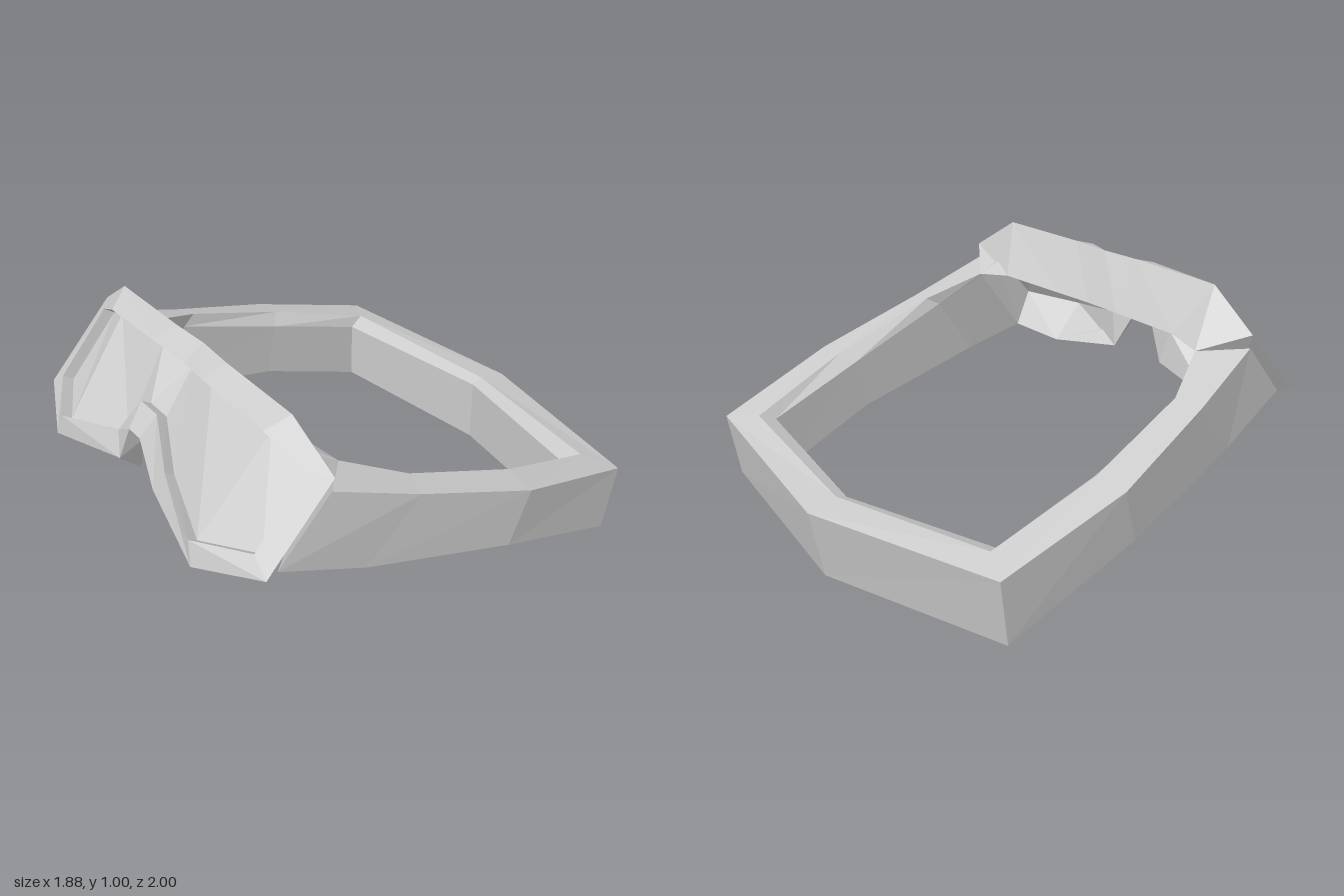
import * as THREE from 'three';

const material = new THREE.MeshStandardMaterial({ color: 0xcccccc, flatShading: true, side: THREE.DoubleSide });
const mirror = ([x, y, z]) => [-x, y, z];

// Skins a list of rings (or open rows) with flat quads
function loft(name, rings, closed) {
  const pos = [];
  for (let j = 0; j < rings.length - 1; j++) {
    const n = rings[j].length;
    for (let i = 0; i < (closed ? n : n - 1); i++) {
      const k = (i + 1) % n;
      const a = rings[j][i], b = rings[j][k], c = rings[j + 1][k], d = rings[j + 1][i];
      pos.push(...a, ...d, ...c, ...a, ...c, ...b);
    }
  }
  const geo = new THREE.BufferGeometry();
  geo.setAttribute('position', new THREE.Float32BufferAttribute(pos, 3));
  geo.computeVertexNormals();
  const mesh = new THREE.Mesh(geo, material);
  mesh.name = name;
  return mesh;
}

// Half outlines run from the top centre, round the left side, to the nose notch
const fullRing = (half) => [...half, ...half.slice(1).reverse().map(mirror)];

const rear = [
  [0, 0.79, 0.49], [0.18, 0.79, 0.485], [0.5, 0.79, 0.475], [0.65, 0.77, 0.44],
  [0.65, 0.46, 0.68], [0.47, 0.405, 0.77], [0.14, 0.455, 0.83], [0.04, 0.65, 0.86],
];
const outer = [
  [0, 1.005, 0.59], [0.18, 1.005, 0.6], [0.6, 1, 0.6], [0.82, 0.85, 0.58],
  [0.82, 0.54, 0.87], [0.53, 0.475, 1], [0.13, 0.54, 0.92], [0.04, 0.72, 0.91],
];
const inner = [
  [0, 0.95, 0.68], [0.18, 0.97, 0.705], [0.55, 0.94, 0.69], [0.735, 0.85, 0.64],
  [0.735, 0.6, 0.86], [0.5, 0.57, 0.985], [0.18, 0.635, 0.89], [0.06, 0.81, 0.84],
];
// The lens sits slightly behind the front lip
const seat = inner.map(([x, y, z]) => [x * 0.985, y - 0.025, z - 0.04]);

// Strap sections: outer top, outer bottom, inner bottom, inner bevel, inner top
const strapHalf = [
  [[0, 0.305, -1], [0, 0.005, -0.94], [0, 0.03, -0.82], [0, 0.31, -0.82], [0, 0.33, -0.87]],
  [[0.89, 0.345, -0.82], [0.88, 0.06, -0.775], [0.73, 0.08, -0.67], [0.73, 0.34, -0.67], [0.75, 0.37, -0.74]],
  [[0.94, 0.505, -0.26], [0.925, 0.27, -0.18], [0.745, 0.25, -0.18], [0.745, 0.48, -0.22], [0.8, 0.52, -0.27]],
  [[0.87, 0.66, 0.23], [0.84, 0.41, 0.45], [0.74, 0.37, 0.45], [0.74, 0.64, 0.26], [0.76, 0.675, 0.2]],
  [[0.81, 0.79, 0.585], [0.8, 0.54, 0.81], [0.65, 0.46, 0.68], [0.65, 0.76, 0.45], [0.65, 0.77, 0.44]],
];

export function createModel() {
  const group = new THREE.Group();
  group.name = 'goggles';

  // Frame: closed shell from the face side, over the front lip, back to the lens seat
  group.add(loft('frame', [rear, outer, inner, seat, rear].map(fullRing), true));

  // Lens: faceted sheet between the upper and lower seat edges
  const top = seat.slice(0, 4);
  const bottom = seat.slice(4).reverse();
  group.add(loft('lens', [
    [...top.map(mirror).reverse(), ...top],
    [...bottom.map(mirror).reverse(), ...bottom],
  ], false));

  // Strap: band running from one side of the frame round the back to the other
  const right = strapHalf.slice(1).reverse().map((section) => section.map(mirror));
  group.add(loft('strap', [...right, ...strapHalf], true));

  return group;
}
